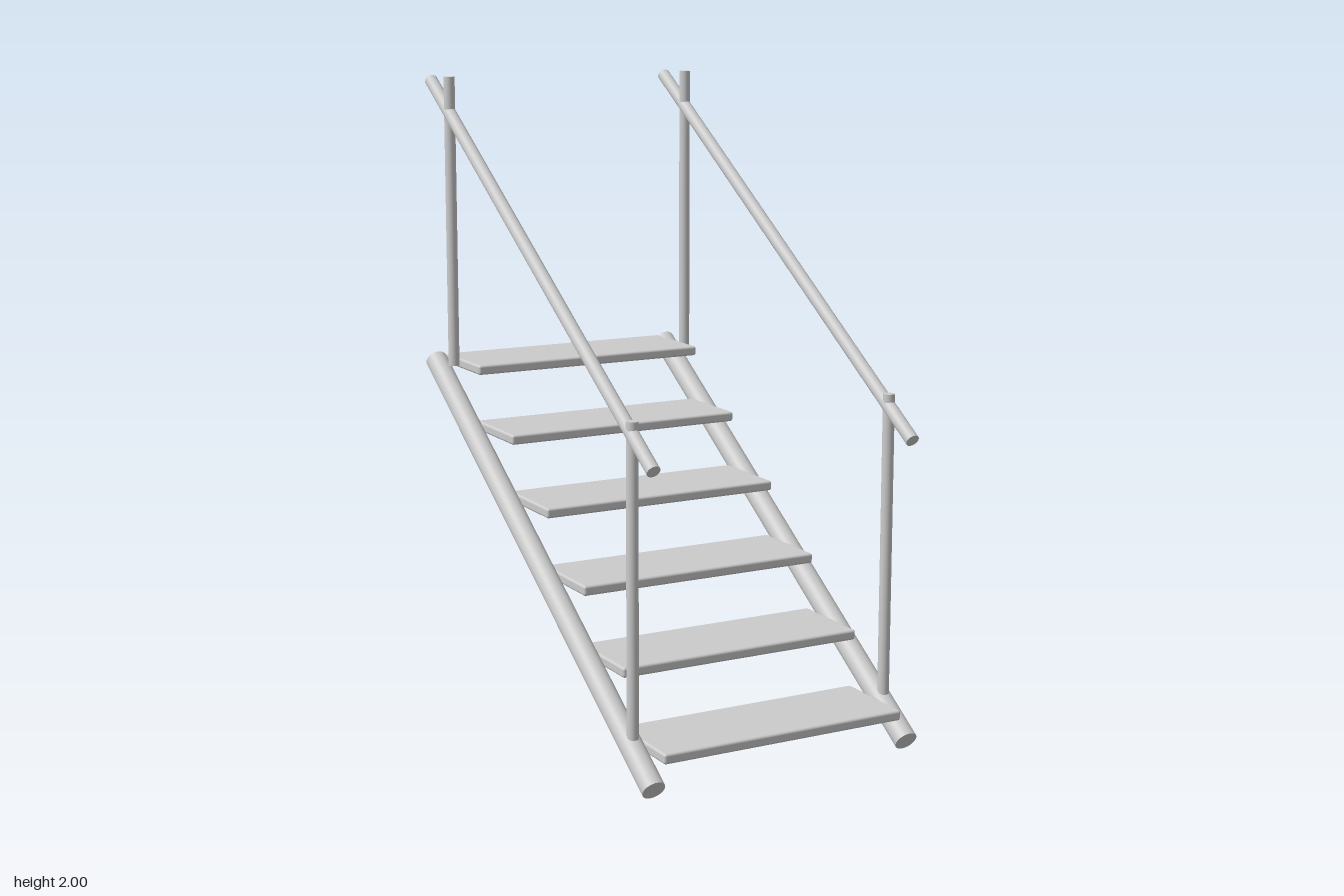
import * as THREE from 'three';
import { RoundedBoxGeometry } from 'three/addons/geometries/RoundedBoxGeometry.js';

const material = new THREE.MeshStandardMaterial({ color: 0xcccccc });
const UP = new THREE.Vector3(0, 1, 0);

// Round bar in the plane x, running between two [y, z] points
function bar(name, x, [y0, z0], [y1, z1], radius) {
  const a = new THREE.Vector3(x, y0, z0);
  const b = new THREE.Vector3(x, y1, z1);
  const dir = b.clone().sub(a);
  const mesh = new THREE.Mesh(new THREE.CylinderGeometry(radius, radius, dir.length(), 32), material);
  mesh.position.copy(a).add(b).multiplyScalar(0.5);
  mesh.quaternion.setFromUnitVectors(UP, dir.normalize());
  mesh.name = name;
  return mesh;
}

export function createModel() {
  const model = new THREE.Group();
  model.name = 'staircase';

  // Six treads with softly rounded edges
  const steps = 6;
  const treadGeometry = new RoundedBoxGeometry(0.816, 0.032, 0.28, 3, 0.008);
  for (let i = 0; i < steps; i++) {
    const tread = new THREE.Mesh(treadGeometry, material);
    tread.position.set(0, 0.12 + i * 0.1862, 0.645 - i * 0.2538);
    tread.name = `tread${i + 1}`;
    model.add(tread);
  }

  // Mirrored sides: sloping stringer, handrail and two posts
  for (const [side, sign] of [['left', 1], ['right', -1]]) {
    const x = sign * 0.437;
    const group = new THREE.Group();
    group.name = `${side}Side`;
    group.add(
      bar('stringer', x, [0.03, 0.773], [1.047, -0.773], 0.036),
      bar('handrail', x, [0.966, 0.773], [1.982, -0.773], 0.021),
      bar('frontPost', x, [0.135, 0.645], [1.087, 0.645], 0.018),
      bar('rearPost', x, [1.05, -0.623], [2.0, -0.623], 0.018),
    );
    model.add(group);
  }

  return model;
}
